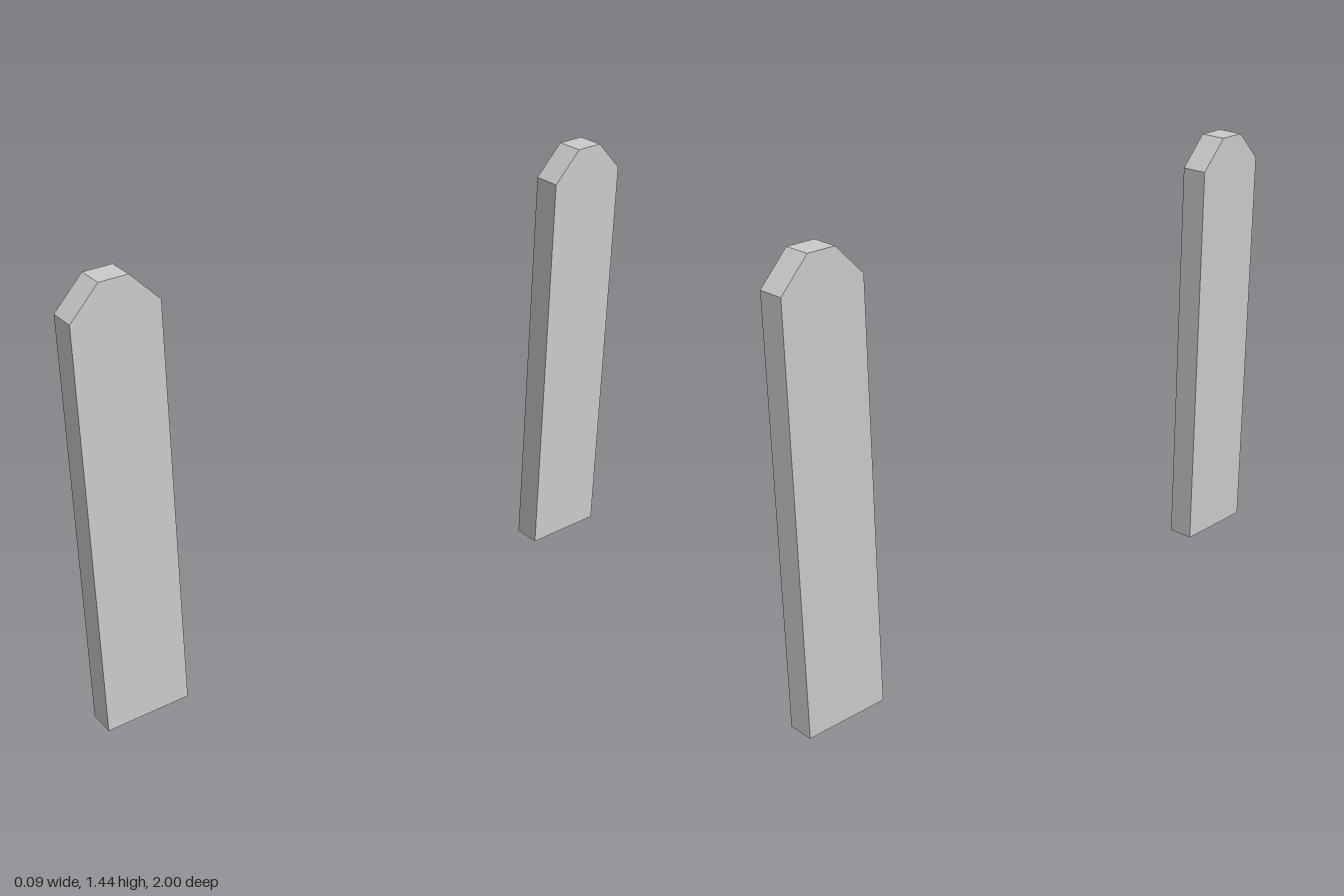
import * as THREE from 'three';

const HALF_WIDTH = 0.138;
const HALF_TIP = 0.046;
const SHOULDER = 1.34;
const HEIGHT = 1.437;
const THICKNESS = 0.087;

// Upright board with a clipped top, standing on y = 0
function picketGeometry() {
  const outline = new THREE.Shape([
    [-HALF_WIDTH, 0], [HALF_WIDTH, 0], [HALF_WIDTH, SHOULDER],
    [HALF_TIP, HEIGHT], [-HALF_TIP, HEIGHT], [-HALF_WIDTH, SHOULDER],
  ].map(([x, y]) => new THREE.Vector2(x, y)));
  const geometry = new THREE.ExtrudeGeometry(outline, { depth: THICKNESS, bevelEnabled: false });
  geometry.translate(0, 0, -THICKNESS / 2);
  geometry.rotateY(-Math.PI / 2); // board width runs along z
  return geometry;
}

export function createModel() {
  const group = new THREE.Group();
  group.name = 'fencePickets';
  const material = new THREE.MeshStandardMaterial({ color: 0xcccccc, flatShading: true });
  const geometry = picketGeometry();

  // One picket at each end
  for (const [name, side] of [['frontPicket', 1], ['backPicket', -1]]) {
    const picket = new THREE.Mesh(geometry, material);
    picket.name = name;
    picket.position.z = side * (1 - HALF_WIDTH);
    group.add(picket);
  }
  return group;
}
